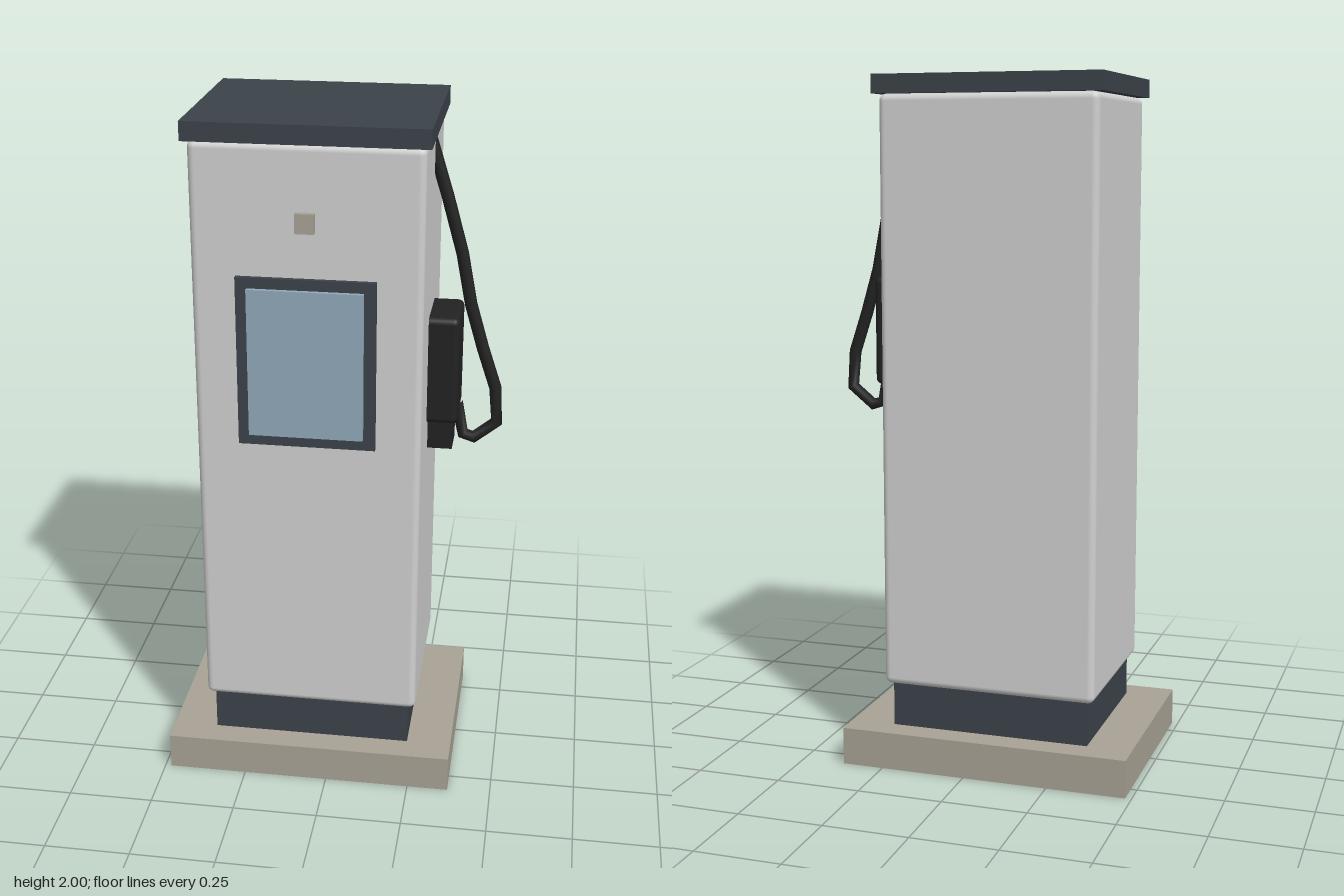
import * as THREE from 'three';
import { RoundedBoxGeometry } from 'three/addons/geometries/RoundedBoxGeometry.js';

const material = (name, color) => {
  const m = new THREE.MeshStandardMaterial({ color });
  m.name = name;
  return m;
};

export function createModel() {
  const group = new THREE.Group();
  group.name = 'chargingStation';

  const white = material('light grey paint', 0xd0d0d0);
  const slate = material('dark slate', 0x3b4249);
  const concrete = material('concrete', 0xa8a295);
  const glass = material('screen blue', 0x8fa8b8);
  const rubber = material('black rubber', 0x222222);

  const add = (name, geometry, mat) => {
    const mesh = new THREE.Mesh(geometry, mat);
    mesh.name = name;
    group.add(mesh);
    return mesh;
  };
  // Box given by its extents on each axis; a radius rounds its edges
  const box = (name, mat, [x0, x1], [y0, y1], [z0, z1], radius = 0) => {
    const size = [x1 - x0, y1 - y0, z1 - z0];
    const geometry = radius
      ? new RoundedBoxGeometry(...size, 3, radius)
      : new THREE.BoxGeometry(...size);
    add(name, geometry, mat).position.set((x0 + x1) / 2, (y0 + y1) / 2, (z0 + z1) / 2);
  };

  // Foundation, cabinet and roof
  box('foundation', concrete, [-0.482, 0.372], [0, 0.11], [-0.32, 0.32]);
  box('plinth', slate, [-0.35, 0.24], [0.11, 0.26], [-0.243, 0.243]);
  box('cabinet', white, [-0.373, 0.263], [0.24, 1.947], [-0.265, 0.265], 0.02);
  box('roof', slate, [-0.387, 0.277], [1.947, 2], [-0.278, 0.278]);

  // Front panel details
  box('screenFrame', slate, [-0.249, 0.137], [1.092, 1.582], [0.25, 0.279]);
  box('screen', glass, [-0.217, 0.104], [1.125, 1.552], [0.26, 0.292]);
  box('cardReader', concrete, [-0.083, -0.03], [1.71, 1.765], [0.25, 0.282]);

  // Holster and plug on the left side
  box('holster', rubber, [0.245, 0.35], [1.105, 1.425], [-0.096, 0.096], 0.018);
  box('plug', rubber, [0.262, 0.335], [1.01, 1.13], [-0.052, 0.052]);

  // Hose, with one ring at each path point for straight runs between bends
  const path = [
    [0.25, 1.91], [0.3, 1.75], [0.345, 1.59], [0.374, 1.44], [0.412, 1.31],
    [0.452, 1.19], [0.46, 1.083], [0.395, 1.03], [0.363, 1.04], [0.342, 1.14],
  ].map(([x, y]) => new THREE.Vector3(x, y, 0));
  const curve = new THREE.CatmullRomCurve3(path);
  curve.getPointAt = curve.getPoint;
  curve.getTangentAt = curve.getTangent;
  add('hose', new THREE.TubeGeometry(curve, path.length - 1, 0.018, 10), rubber);

  return group;
}
